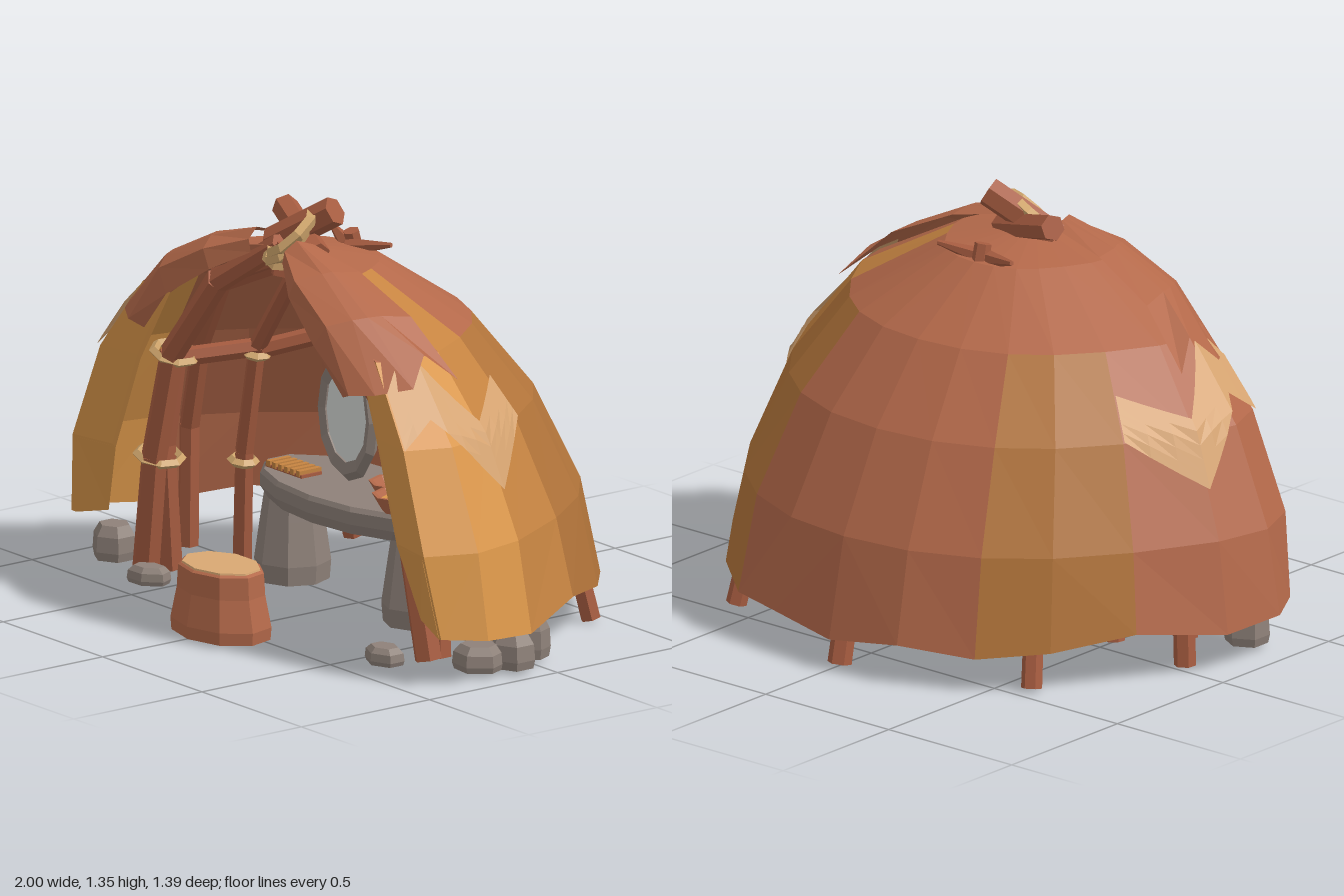
import * as THREE from 'three';

const mat = (name, color) => new THREE.MeshStandardMaterial({ name, color, flatShading: true, side: THREE.DoubleSide });
const V = (x, y, z) => new THREE.Vector3(x, y, z);

// Tent plan from front edge to centre back: x, z, hem height
const COLS = [[0.80, 0.37, 0.19], [0.93, 0.40, 0.16], [1.0, 0.27, 0.15], [0.96, 0.07, 0.13], [0.82, -0.2, 0.17],
  [0.66, -0.42, 0.13], [0.48, -0.57, 0.11], [0.25, -0.67, 0.13], [0, -0.7, 0.10]];
// Tent rows from hem to apex: height, x scale, z scale, forward bulge and inset of the front edge
const ROWS = [[0.15, 1, 1, 0, 0], [0.42, 0.95, 0.93, 0.04, 0.04], [0.73, 0.82, 0.77, 0.045, 0.05],
  [0.97, 0.63, 0.57, 0.04, 0.02], [1.15, 0.29, 0.3, 0.04, 0], [1.205, 0, 0, 0.03, 0]];

// Grid corner of the tent, the lining behind it, and any point between corners
function corner(c, r, side) {
  const [x, z, hem] = COLS[c], [y, sx, sz, bulge, inset] = ROWS[r];
  return V(side * (x * sx - (c === 0 ? inset : 0)), r === 0 ? hem : y, 0.28 + (z - 0.28) * sz + (c < 2 ? bulge : 0));
}
const scaled = (p, k) => V(p.x * k, p.y * k, 0.2 + (p.z - 0.2) * k);
const lining = (c, r, side) => scaled(corner(c, r, side), 0.982);
function onTent(c, r, side) {
  const c0 = Math.min(Math.floor(c), COLS.length - 2), r0 = Math.min(Math.floor(r), ROWS.length - 2);
  const low = corner(c0, r0, side).lerp(corner(c0 + 1, r0, side), c - c0);
  const high = corner(c0, r0 + 1, side).lerp(corner(c0 + 1, r0 + 1, side), c - c0);
  return scaled(low.lerp(high, r - r0), 1.012);
}

// Quad of two triangles; side flips the winding for the mirrored half
function pushQuad(list, a, b, c, d, side) {
  const order = side > 0 ? [a, b, c, a, c, d] : [a, c, b, a, d, c];
  order.forEach(p => list.push(p.x, p.y, p.z));
}
function sheet(list) {
  const g = new THREE.BufferGeometry();
  g.setAttribute('position', new THREE.Float32BufferAttribute(list, 3));
  g.computeVertexNormals();
  return g;
}
// Straight-line interpolation through [x, a, b] stops
function between(stops, x) {
  const i = stops.findIndex((s, k) => k === stops.length - 2 || x <= stops[k + 1][0]);
  const [p, q] = [stops[i], stops[i + 1]], t = (x - p[0]) / (q[0] - p[0]);
  return [p[1] + (q[1] - p[1]) * t, p[2] + (q[2] - p[2]) * t];
}

export function createModel() {
  const root = new THREE.Group();
  root.name = 'tentShelter';
  const M = {
    hide: mat('hide', 0xb4694a), gold: mat('goldCloth', 0xdb974a), ochre: mat('ochreCloth', 0xc68441),
    dull: mat('dullOchreCloth', 0xb2743a), pattern: mat('palePattern', 0xd6a471), wood: mat('wood', 0xa85d41),
    rope: mat('rope', 0xcfa56c), cut: mat('cutWood', 0xd9a873), stone: mat('stone', 0x8e8179), glass: mat('mirrorGlass', 0xd6d9d6),
  };
  const add = (name, geo, material, parent = root) => {
    const m = new THREE.Mesh(geo, material);
    m.name = name;
    parent.add(m);
    return m;
  };
  const stick = (name, a, b, r0, r1 = r0) => {
    const m = add(name, new THREE.CylinderGeometry(r1, r0, a.distanceTo(b), 6), M.wood);
    m.position.copy(a).lerp(b, 0.5);
    m.quaternion.setFromUnitVectors(V(0, 1, 0), b.clone().sub(a).normalize());
  };
  const pole = (name, pts, r) => {
    for (let i = 0; i < pts.length - 1; i++) stick(name, pts[i], pts[i + 1], r * (1 - 0.06 * i), r * (1 - 0.06 * (i + 1)));
  };
  const ring = (name, p, dir, r, thick) => {
    const m = add(name, new THREE.TorusGeometry(r, thick, 4, 8), M.rope);
    m.quaternion.setFromUnitVectors(V(0, 0, 1), dir.clone().normalize());
    m.position.copy(p);
  };

  // Tent cover and lining: coloured panels among the hide panels
  const panels = { hide: [], gold: [], ochre: [], dull: [] }, pattern = [];
  const coverColour = (c, r, side) => {
    if (side > 0 && c === 3 && r < 4) return 'ochre';
    if (r > 2) return 'hide';
    if (c === 4 || c === 5) return 'dull';
    return c === 0 || (side > 0 && c < 3) ? 'gold' : 'hide';
  };
  // Zigzag: column, middle row, half width
  const zigzag = [[1, 2.3, 0.32], [1.75, 2.72, 0.42], [3, 1.82, 0.34], [4, 2.25, 0.25]];
  const stops = [1, 1.35, 1.75, 2, 2.33, 2.67, 3, 3.33, 3.67, 4];
  for (const side of [1, -1]) {
    for (let c = 0; c < COLS.length - 1; c++) {
      for (let r = 0; r < ROWS.length - 1; r++) {
        const quad = f => [f(c, r, side), f(c + 1, r, side), f(c + 1, r + 1, side), f(c, r + 1, side), side];
        pushQuad(panels[coverColour(c, r, side)], ...quad(corner));
        pushQuad(panels[c < 3 && r < 3 ? 'gold' : 'hide'], ...quad(lining));
      }
      pushQuad(panels[coverColour(c, 0, side)], lining(c, 0, side), lining(c + 1, 0, side), corner(c + 1, 0, side), corner(c, 0, side), side);
    }
    for (let r = 0; r < ROWS.length - 1; r++) {
      pushQuad(panels[coverColour(0, r, side)], lining(0, r, side), corner(0, r, side), corner(0, r + 1, side), lining(0, r + 1, side), side);
    }
    for (let i = 0; i < stops.length - 1; i++) for (let k = 0; k < 5; k++) {
      const at = (c, j) => {
        const [mid, half] = between(zigzag, c);
        return onTent(c, mid + half * (j / 2.5 - 1), side);
      };
      pushQuad(pattern, at(stops[i], k), at(stops[i + 1], k), at(stops[i + 1], k + 1), at(stops[i], k + 1), side);
    }
  }
  for (const key of Object.keys(panels)) add(key + 'TentPanels', sheet(panels[key]), M[key]);
  add('tentZigzag', sheet(pattern), M.pattern);

  // Folded lapels over the entrance, with a notched lower hem
  const lapel = [
    [[0.08, 1.17, 0.36], [0.09, 1.21, 0.36], [0.10, 1.24, 0.32], [0.10, 1.235, 0.305], [0.10, 1.23, 0.29], [0.10, 1.215, 0.25]],
    [[0.20, 1.10, 0.43], [0.23, 1.16, 0.43], [0.28, 1.18, 0.36], [0.29, 1.185, 0.33], [0.30, 1.18, 0.30], [0.30, 1.17, 0.23]],
    [[0.37, 0.99, 0.465], [0.42, 1.06, 0.455], [0.47, 1.08, 0.39], [0.49, 1.085, 0.345], [0.50, 1.085, 0.30], [0.52, 1.07, 0.2]],
    [[0.50, 0.85, 0.45], [0.555, 0.87, 0.47], [0.63, 0.88, 0.425], [0.70, 0.90, 0.33], [0.65, 0.985, 0.25], [0.70, 0.9, 0.155]],
  ];
  for (const side of [1, -1]) {
    const list = [], p = (i, j) => V(side * lapel[i][j][0], lapel[i][j][1], lapel[i][j][2]);
    for (let i = 0; i < 3; i++) for (let j = 0; j < 5; j++) pushQuad(list, p(i, j), p(i + 1, j), p(i + 1, j + 1), p(i, j + 1), side);
    add('lapel', sheet(list), M.hide);
  }

  // Frame poles, struts and lashings; the front poles stand further back on the left
  for (const s of [1, -1]) {
    const d = s > 0 ? -0.08 : 0;
    pole('frontPole', [V(s * 0.66, 0.01, 0.32 + d), V(s * 0.59, 0.4, 0.34 + d), V(s * 0.50, 0.75, 0.34 + d), V(s * 0.27, 1.03, 0.34 + d / 3), V(s * 0.02, 1.2, 0.29)], 0.045);
    pole('frontSidePole', [V(s * 0.65, 0.01, 0.23 + d / 2), V(s * 0.63, 0.42, 0.27 + d), V(s * 0.55, 0.76, 0.28 + d), V(s * 0.34, 1.02, 0.29 + d / 2), V(s * 0.03, 1.16, 0.25)], 0.04);
    pole('innerPole', [V(s * 0.51, 0.01, 0.06), V(s * 0.46, 0.4, 0.09), V(s * 0.37, 0.76, 0.11), V(s * 0.02, 1.14, 0.2)], 0.032);
    pole('sideRib', [V(s * 0.82, 0.01, 0.03), V(s * 0.80, 0.4, 0.04), V(s * 0.69, 0.7, 0.08), V(s * 0.52, 0.93, 0.13), V(s * 0.04, 1.13, 0.22)], 0.035);
    pole('backSideRib', [V(s * 0.6, 0.01, -0.44), V(s * 0.55, 0.4, -0.36), V(s * 0.45, 0.7, -0.24), V(s * 0.32, 0.91, -0.09), V(s * 0.04, 1.12, 0.18)], 0.033);
    stick('sideStrut', V(s * 0.54, 0.72, 0.34 + d), V(s * 0.36, 0.76, 0.1), 0.03);
    stick('backStrut', V(s * 0.39, 0.74, 0.12), V(0, 0.9, -0.25), 0.03);
    ring('lashing', V(s * 0.525, 0.74, 0.31 + d), V(s * -0.3, 1, 0), 0.068, 0.015);
    ring('lashing', V(s * 0.61, 0.39, 0.305 + d), V(s * -0.2, 1, 0), 0.07, 0.015);
    ring('lashing', V(s * 0.375, 0.74, 0.11), V(s * -0.25, 1, 0), 0.037, 0.015);
    ring('lashing', V(s * 0.465, 0.37, 0.09), V(s * -0.15, 1, 0), 0.037, 0.015);
    stick('twig', V(0, 1.15, 0.04), V(s * 0.15, 1.18, -0.01), 0.03, 0.008);
  }
  pole('backRib', [V(0, 0.01, -0.65), V(0, 0.4, -0.57), V(0, 0.7, -0.41), V(0, 0.91, -0.22), V(0, 1.08, 0), V(0, 1.2, 0.03)], 0.038);

  // Crossed pole ends bound with rope at the peak
  stick('peakPole', V(-0.18, 1.26, 0.15), V(0.1, 1.18, 0.24), 0.042);
  stick('peakPole', V(-0.1, 1.18, 0.26), V(0.1, 1.31, 0.17), 0.048);
  stick('peakPole', V(0, 1.1, 0.29), V(0, 1.2, 0.27), 0.045);
  ring('peakRope', V(0.01, 1.235, 0.27), V(-0.39, 0.74, 0.54), 0.088, 0.02);
  ring('peakRope', V(0, 1.205, 0.28), V(-0.3, 0.74, 0.6), 0.08, 0.018);
  ring('peakRope', V(0, 1.17, 0.285), V(0.3, 0.8, 0.4), 0.06, 0.016);

  // Faceted stones: radius x, height, radius z
  const stoneShape = (profile, sides) => new THREE.LatheGeometry(profile.map(q => new THREE.Vector2(...q)), sides);
  const rock = stoneShape([[0, 0], [0.92, 0], [1, 0.25], [0.95, 0.7], [0.68, 1], [0, 1]], 6);
  [[-0.83, 0.31, 0.075, 0.11, 0.07], [-0.54, 0.4, 0.075, 0.055, 0.05], [0.62, 0.38, 0.075, 0.055, 0.055],
    [0.85, 0.19, 0.085, 0.08, 0.08], [0.885, 0.09, 0.085, 0.11, 0.07], [0.83, -0.02, 0.07, 0.13, 0.06]].forEach(([x, z, w, h, d], i) => {
    const m = add('rock', rock, M.stone);
    m.position.set(x, 0.015, z);
    m.scale.set(w, h, d);
    m.rotation.y = i % 2 * 0.4;
  });

  // Stone table
  const leg = stoneShape([[0, 0], [0.115, 0], [0.12, 0.06], [0.1, 0.2], [0.085, 0.3], [0, 0.3]], 8);
  for (const s of [1, -1]) add('tableLeg', leg, M.stone).position.set(s * 0.32, 0.015, 0.01);
  const slab = add('tableTop', stoneShape([[0, 0.29], [0.92, 0.29], [1, 0.325], [1, 0.365], [0.96, 0.38], [0, 0.38]], 14), M.stone);
  slab.scale.set(0.43, 1, 0.2);

  // Oval mirror
  const mirror = new THREE.Group();
  mirror.name = 'mirror';
  mirror.position.set(-0.05, 0.595, 0);
  root.add(mirror);
  add('mirrorFrame', new THREE.TorusGeometry(0.122, 0.023, 5, 12), M.stone, mirror).scale.set(1, 1.48, 1);
  const glass = add('mirrorGlass', new THREE.CylinderGeometry(0.115, 0.115, 0.015, 12), M.glass, mirror);
  glass.rotation.x = Math.PI / 2;
  glass.scale.z = 1.5;

  // Bowls with filling
  const bowl = stoneShape([[0, 0], [0.055, 0], [0.088, 0.055], [0.075, 0.055], [0.05, 0.02], [0, 0.02]], 8);
  for (const [x, z] of [[0.19, 0], [0.31, 0.08]]) add('bowl', bowl, M.hide).position.set(x, 0.38, z);
  add('bowlFilling', new THREE.CylinderGeometry(0.064, 0.06, 0.008, 8), M.gold).position.set(0.31, 0.414, 0.08);

  // Slatted tray
  const tray = new THREE.Group();
  tray.name = 'slattedTray';
  tray.position.set(-0.25, 0.385, 0.06);
  root.add(tray);
  add('trayBase', new THREE.BoxGeometry(0.18, 0.01, 0.08), M.wood, tray);
  for (let i = 0; i < 6; i++) add('traySlat', new THREE.BoxGeometry(0.018, 0.018, 0.085), M.ochre, tray).position.set(-0.075 + i * 0.03, 0.008, 0);

  // Stump stool
  const stump = add('stump', stoneShape([[0, 0], [0.188, 0], [0.192, 0.04], [0.168, 0.14], [0.163, 0.21], [0.152, 0.216], [0, 0.216]], 9), M.hide);
  stump.position.set(0.03, 0.012, 0.56);
  stump.scale.z = 0.7;
  const cut = add('stumpTop', new THREE.CylinderGeometry(0.148, 0.15, 0.008, 9), M.cut);
  cut.position.set(0.03, 0.23, 0.56);
  cut.scale.z = 0.7;
  return root;
}
